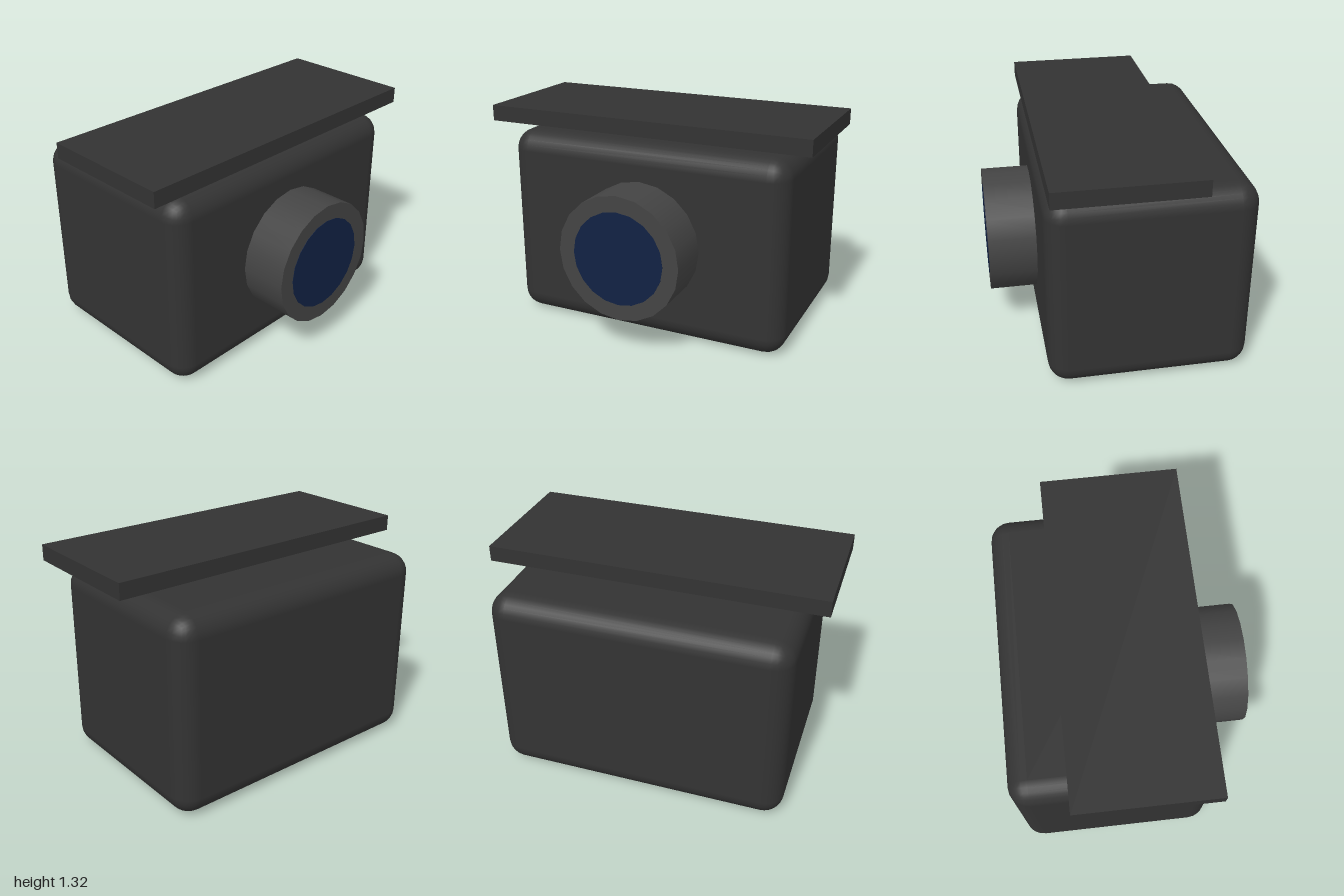
import * as THREE from 'three';
import { RoundedBoxGeometry } from 'three/addons/geometries/RoundedBoxGeometry.js';

export function createModel() {
  const model = new THREE.Group();
  model.name = 'camera';

  const add = (name, geometry, color, x, y, z = 0) => {
    const mesh = new THREE.Mesh(geometry, new THREE.MeshStandardMaterial({ color }));
    mesh.name = name;
    mesh.position.set(x, y, z);
    model.add(mesh);
    return mesh;
  };

  // Cylinder lying along x
  const disc = (radius, length) =>
    new THREE.CylinderGeometry(radius, radius, length, 20).rotateZ(-Math.PI / 2);

  // Housing with softly rounded edges
  add('housing', new RoundedBoxGeometry(1.175, 1.178, 1.76, 3, 0.12), 0x333333, -0.143, 0.589);

  // Flat shade floating over the housing
  add('topShade', new THREE.BoxGeometry(0.82, 0.095, 2), 0x333333, 0.02, 1.272);

  // Lens barrel, with its inner end sunk into the housing
  add('lensBarrel', disc(0.375, 0.46), 0x444444, 0.495, 0.59);

  // Lens glass, almost flush with the end of the barrel
  add('lensGlass', disc(0.28, 0.06), 0x112244, 0.697, 0.59);

  return model;
}
